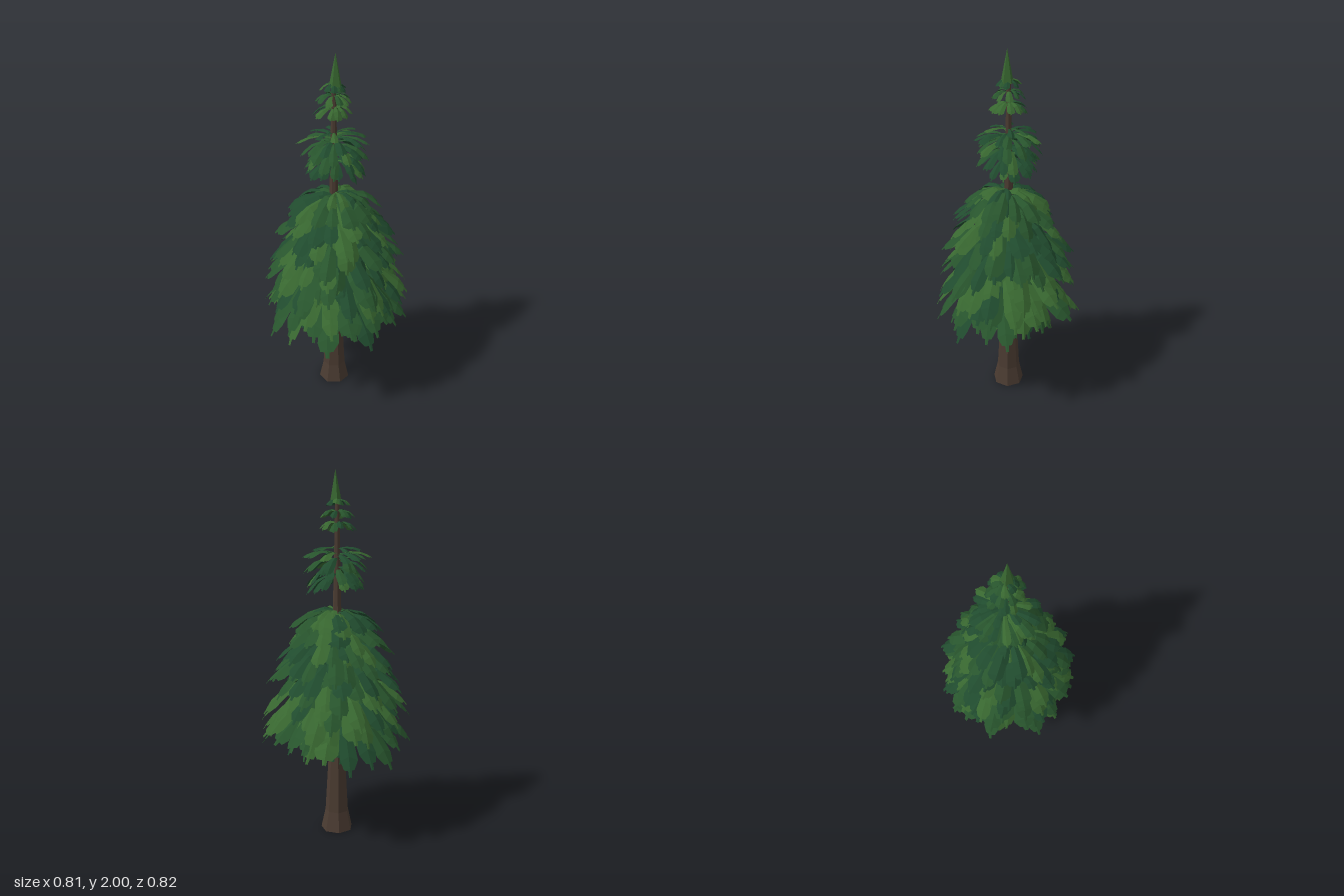
import * as THREE from 'three';
import { mergeGeometries } from 'three/addons/utils/BufferGeometryUtils.js';

// Small seeded generator, so the tree grows the same way every time
let seed = 11;
function rand(min, max) {
  seed = (seed * 16807) % 2147483647;
  return min + (max - min) * (seed / 2147483647);
}

const lerp = THREE.MathUtils.lerp;
const material = (color) =>
  new THREE.MeshStandardMaterial({ color, flatShading: true, roughness: 0.9, side: THREE.DoubleSide });
const bark = material(0x4a3b31);
const greens = [0x204b2e, 0x28552d, 0x386730].map(material);

// Position along the frond and half width: a broad blade ending in a narrow tongue
const OUTLINE = [[0, 0.2], [0.3, 0.5], [0.6, 0.85], [0.84, 1], [0.93, 0.6], [0.945, 0.22], [1, 0.16]];

// One drooping frond with a raised midrib, growing along +x
function frond(reach, lift, drop, halfWidth) {
  const arch = new THREE.QuadraticBezierCurve(
    new THREE.Vector2(0.005, 0),
    new THREE.Vector2(reach * 0.62, lift),
    new THREE.Vector2(reach, -drop));
  const positions = [];
  const index = [];
  OUTLINE.forEach(([t, w], i) => {
    const p = arch.getPoint(t);
    const half = w * halfWidth;
    const fold = half * 0.45;
    const skew = rand(-0.15, 0.15) * half;
    positions.push(p.x, p.y - fold, -half + skew, p.x, p.y, 0, p.x, p.y - fold, half + skew);
    if (i === 0) return;
    const a = (i - 1) * 3;
    for (const k of [a, a + 1]) index.push(k, k + 1, k + 3, k + 1, k + 4, k + 3);
  });
  const geometry = new THREE.BufferGeometry();
  geometry.setAttribute('position', new THREE.Float32BufferAttribute(positions, 3));
  geometry.setIndex(index);
  return geometry;
}

// A ring of fronds, sorted into one mesh per shade of green
function tier(name, { y, reach, lift, drop, width, count }) {
  const shades = greens.map(() => []);
  const start = rand(0, Math.PI * 2);
  for (let i = 0; i < count; i++) {
    const g = frond(reach * rand(0.88, 1.06), lift, drop * rand(0.75, 1.15), width * rand(0.8, 1.15));
    g.rotateX(rand(-0.3, 0.3));
    g.rotateY(start + ((i + rand(-0.3, 0.3)) / count) * Math.PI * 2);
    g.translate(0, y + rand(-0.06, 0.06) * reach, 0);
    shades[Math.floor(rand(0, 2.999))].push(g);
  }
  const group = new THREE.Group();
  group.name = name;
  shades.forEach((list, i) => {
    if (!list.length) return;
    const mesh = new THREE.Mesh(mergeGeometries(list), greens[i]);
    mesh.name = 'fronds';
    group.add(mesh);
  });
  return group;
}

export function createModel() {
  seed = 11;
  const tree = new THREE.Group();
  tree.name = 'conifer';

  // Faceted trunk with a flared, open foot
  const profile = [[0.09, 0], [0.066, 0.11], [0.043, 0.52], [0.028, 1.1], [0.018, 1.5], [0.011, 1.86]]
    .map(([r, h]) => new THREE.Vector2(r, h));
  const trunk = new THREE.Mesh(new THREE.LatheGeometry(profile, 7), bark);
  trunk.name = 'trunk';
  tree.add(trunk);

  // Dense skirt: long outer fronds, with shorter ones filling between
  const skirt = new THREE.Group();
  skirt.name = 'skirt';
  skirt.position.set(0.012, 0, 0.008);
  const rings = 9;
  for (let i = 0; i < rings; i++) {
    const f = i / (rings - 1);
    const outer = {
      y: lerp(0.72, 1.245, f),
      reach: lerp(0.4, 0.25, f * f),
      lift: lerp(0.07, 0.05, f),
      drop: lerp(0.23, 0.09, f),
      width: lerp(0.055, 0.04, f),
      count: Math.round(lerp(21, 15, f)),
    };
    skirt.add(tier('outerTier', outer));
    skirt.add(tier('innerTier', {
      ...outer, y: outer.y + 0.01, reach: outer.reach * 0.75, width: outer.width * 0.85, count: outer.count - 5,
    }));
  }
  tree.add(skirt);

  // Middle cluster
  const middle = new THREE.Group();
  middle.name = 'middleCluster';
  [
    { y: 1.45, reach: 0.16, lift: 0.03, drop: 0.085, width: 0.027, count: 13 },
    { y: 1.49, reach: 0.17, lift: 0.03, drop: 0.085, width: 0.027, count: 13 },
    { y: 1.53, reach: 0.175, lift: 0.035, drop: 0.07, width: 0.027, count: 13 },
    { y: 1.56, reach: 0.185, lift: 0.035, drop: 0.03, width: 0.026, count: 11 },
    { y: 1.59, reach: 0.13, lift: 0.02, drop: 0.01, width: 0.02, count: 6 },
  ].forEach((t) => middle.add(tier('middleTier', t)));
  tree.add(middle);

  // Crown of three small whorls
  const crown = new THREE.Group();
  crown.name = 'crown';
  [
    { y: 1.725, reach: 0.1, lift: 0.025, drop: 0.04, width: 0.021, count: 11 },
    { y: 1.785, reach: 0.095, lift: 0.025, drop: 0.035, width: 0.02, count: 10 },
    { y: 1.845, reach: 0.068, lift: 0.015, drop: 0.03, width: 0.018, count: 9 },
  ].forEach((t) => crown.add(tier('crownTier', t)));

  // Pointed leader
  const spike = new THREE.Mesh(new THREE.ConeGeometry(0.034, 0.17, 5), greens[2]);
  spike.name = 'topSpike';
  spike.position.set(0.012, 1.915, 0.004);
  crown.add(spike);
  tree.add(crown);

  // The trunk stands slightly off the centre of the whole
  tree.position.set(-0.029, 0, -0.018);
  const model = new THREE.Group();
  model.name = 'tree';
  model.add(tree);
  return model;
}
